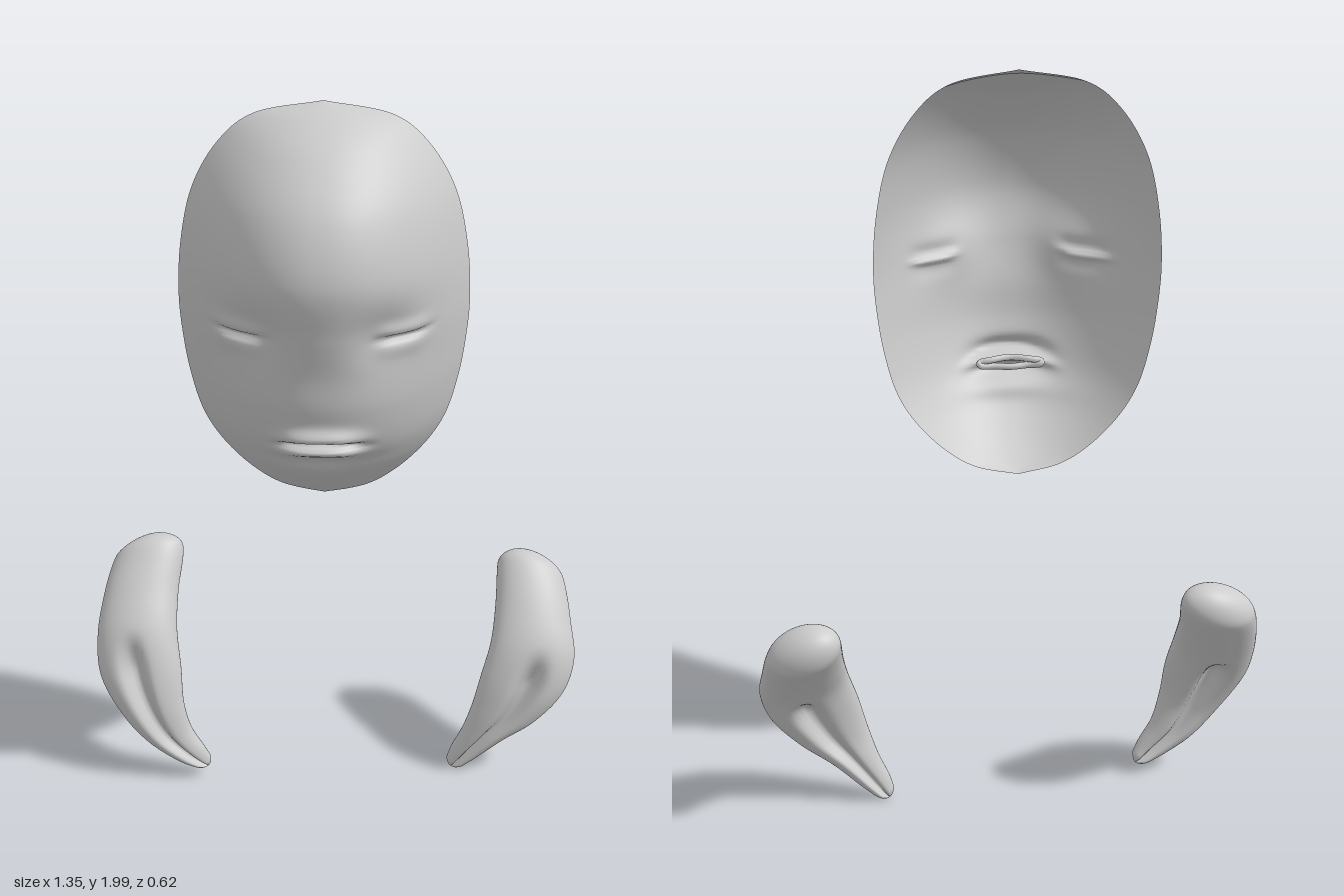
import * as THREE from 'three';
import { mergeVertices } from 'three/addons/utils/BufferGeometryUtils.js';

const V = (x, y, z) => new THREE.Vector3(x, y, z);
const gauss = (d, w) => Math.exp(-(d * d) / (w * w));
const material = new THREE.MeshStandardMaterial({ color: 0xcccccc, side: THREE.DoubleSide });

// Smooth surface from a rule (u, v) -> point
function surface(name, nu, nv, rule) {
  const geo = new THREE.PlaneGeometry(1, 1, nu, nv);
  const pos = geo.attributes.position;
  for (let i = 0; i < pos.count; i++) {
    const p = rule(pos.getX(i) + 0.5, pos.getY(i) + 0.5);
    pos.setXYZ(i, p.x, p.y, p.z);
  }
  geo.deleteAttribute('uv');
  geo.deleteAttribute('normal');
  const merged = mergeVertices(geo, 1e-5);
  merged.computeVertexNormals();
  const mesh = new THREE.Mesh(merged, material);
  mesh.name = name;
  return mesh;
}

const FACE_X = -0.03, RIM_Z = -0.01;

// Face outline from chin to crown: half width, height, depth of the middle
const faceProfile = new THREE.CatmullRomCurve3([
  [0, 0.94, 0], [0.11, 0.965, 0.03], [0.19, 1.015, 0.09], [0.27, 1.1, 0.175],
  [0.315, 1.18, 0.225], [0.345, 1.29, 0.262], [0.36, 1.39, 0.275], [0.367, 1.5, 0.3],
  [0.357, 1.64, 0.325], [0.325, 1.78, 0.282], [0.255, 1.9, 0.18], [0.17, 1.967, 0.085], [0, 2, 0],
].map(p => V(...p)));

// Relief of lips, closed eyes and sockets at distance x from the middle
function relief(x, y) {
  const side = Math.abs(x);
  const mouth = Math.exp(-Math.pow(side / 0.105, 4));
  const line = y - 1.19 + 0.8 * x * x;
  let d = mouth * (0.028 * gauss(line - 0.026, 0.022) - 0.035 * gauss(line, 0.012)
    + 0.02 * gauss(line + 0.025, 0.022));
  d -= 0.016 * gauss(side, 0.13) * gauss(y - 1.125, 0.03);
  const ex = side - 0.2;
  const eye = Math.exp(-Math.pow(ex / 0.062, 4));
  const lid = y - 1.475 - 1.2 * ex * ex;
  d += eye * (0.012 * gauss(lid - 0.022, 0.02) - 0.02 * gauss(lid, 0.009) + 0.008 * gauss(lid + 0.025, 0.025));
  d -= 0.025 * gauss(side - 0.16, 0.075) * gauss(y - 1.49, 0.075);
  return d;
}

function faceMask() {
  return surface('faceMask', 80, 190, (u, v) => {
    const p = faceProfile.getPointAt(v);
    const s = u * 2 - 1;
    const x = s * p.x;
    const dome = 1 - Math.pow(Math.abs(s), 2.2);
    const edge = Math.min(1, (1 - Math.abs(s)) * 6);
    return V(FACE_X + x, p.y, RIM_Z + p.z * dome + relief(x, p.y) * edge);
  });
}

// Folded lip edge inside the mouth
function innerLip() {
  const pts = [];
  for (let i = 0; i < 32; i++) {
    const a = i / 32 * Math.PI * 2;
    const x = 0.085 * Math.cos(a);
    pts.push(V(FACE_X + x, 1.187 + 0.012 * Math.sin(a), 0.185 - 1.8 * x * x + 0.004 * Math.sin(5 * a)));
  }
  const mesh = new THREE.Mesh(
    new THREE.TubeGeometry(new THREE.CatmullRomCurve3(pts, true), 64, 0.009, 8, true), material);
  mesh.name = 'innerLip';
  return mesh;
}

// Mitten hand: rows of outer x, outer y, inner x, inner y, z, half thickness, from wrist to tip
function hand(name, rows) {
  const curve = f => new THREE.CatmullRomCurve3(rows.map(f));
  const outer = curve(r => V(r[0], r[1], r[4]));
  const inner = curve(r => V(r[2], r[3], r[4]));
  const thick = curve((r, i) => V(i, r[5], 0));
  const middle = t => outer.getPoint(t).add(inner.getPoint(t)).multiplyScalar(0.5);
  return surface(name, 64, 90, (u, v) => {
    // Denser rings toward the rounded ends
    const t = 0.5 - 0.5 * Math.cos(v * Math.PI);
    const c = middle(t);
    const w = inner.getPoint(t).sub(outer.getPoint(t)).multiplyScalar(0.5);
    const dir = middle(Math.min(1, t + 0.01)).sub(middle(Math.max(0, t - 0.01))).normalize();
    const n = dir.clone().cross(w).normalize();
    const e = Math.min(1, t / 0.1, (1 - t) / 0.05);
    const round = Math.sqrt(Math.max(0, 1 - (1 - e) ** 2));
    // Cleft between the two digits, front and back
    const a = u * Math.PI * 2;
    const s = Math.cos(a);
    const cleft = 0.85 * THREE.MathUtils.smoothstep(t, 0.36, 0.5) * gauss(s + 0.08, 0.24);
    const h = thick.getPoint(t).y * Math.sin(a) * (1 - cleft);
    return c.addScaledVector(w, s * round).addScaledVector(n, h * round);
  });
}

export function createModel() {
  const model = new THREE.Group();
  model.name = 'maskAndHands';
  model.add(faceMask(), innerLip());
  model.add(hand('rightHand', [
    [-0.61, 0.645, -0.45, 0.69, -0.25, 0.055],
    [-0.64, 0.59, -0.44, 0.64, -0.205, 0.065],
    [-0.662, 0.52, -0.45, 0.55, -0.14, 0.07],
    [-0.675, 0.43, -0.45, 0.46, -0.075, 0.07],
    [-0.665, 0.33, -0.437, 0.36, -0.03, 0.06],
    [-0.6, 0.21, -0.43, 0.26, -0.003, 0.048],
    [-0.53, 0.125, -0.41, 0.175, 0, 0.04],
    [-0.45, 0.065, -0.375, 0.11, 0, 0.03],
    [-0.38, 0.03, -0.352, 0.06, -0.008, 0.02],
  ]));
  model.add(hand('leftHand', [
    [0.62, 0.58, 0.46, 0.635, -0.29, 0.06],
    [0.645, 0.53, 0.453, 0.585, -0.23, 0.068],
    [0.662, 0.45, 0.447, 0.5, -0.155, 0.068],
    [0.672, 0.37, 0.435, 0.42, -0.1, 0.064],
    [0.645, 0.28, 0.41, 0.33, -0.07, 0.057],
    [0.57, 0.19, 0.385, 0.23, -0.057, 0.046],
    [0.485, 0.125, 0.36, 0.15, -0.06, 0.04],
    [0.41, 0.055, 0.33, 0.08, -0.065, 0.03],
    [0.35, 0.003, 0.315, 0.028, -0.068, 0.02],
  ]));
  return model;
}
